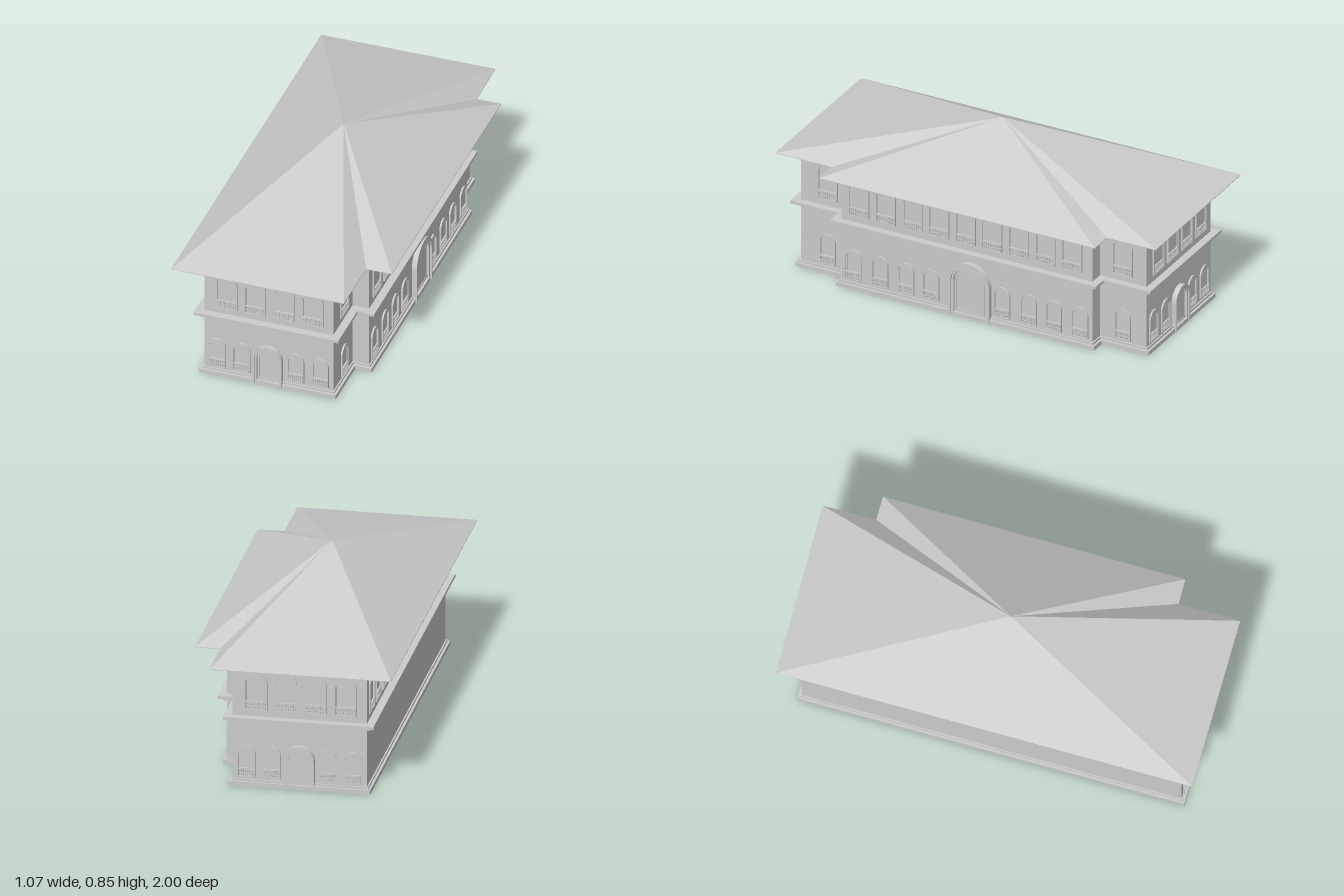
import * as THREE from 'three';

const mat = new THREE.MeshStandardMaterial({ color: 0xcccccc, flatShading: true });

// Plan corners as [x, z], running front-left, along the front, then round the right side
const WALL = [[-0.401, 0.876], [0.215, 0.906], [0.232, 0.655], [0.312, 0.66],
  [0.397, -0.63], [0.323, -0.634], [0.34, -0.874], [-0.276, -0.905]];
const EAVE = [[-0.534, 0.954], [0.291, 0.998], [0.312, 0.709], [0.434, 0.714],
  [0.534, -0.706], [0.418, -0.712], [0.434, -0.963], [-0.397, -1.0]];

function add(parent, name, geo, x = 0, y = 0, z = 0) {
  const m = new THREE.Mesh(geo, mat);
  m.name = name;
  m.position.set(x, y, z);
  parent.add(m);
  return m;
}

// Push every edge of a plan outwards by d, with mitred corners
function offset(pts, d) {
  const n = pts.length;
  const normal = (a, b) => {
    const l = Math.hypot(b[0] - a[0], b[1] - a[1]);
    return [-(b[1] - a[1]) / l, (b[0] - a[0]) / l];
  };
  return pts.map((p, i) => {
    const a = normal(pts[(i + n - 1) % n], p), b = normal(p, pts[(i + 1) % n]);
    const k = d / (1 + a[0] * b[0] + a[1] * b[1]);
    return [p[0] + (a[0] + b[0]) * k, p[1] + (a[1] + b[1]) * k];
  });
}

// Vertical prism over a plan
function slab(parent, name, pts, y0, y1) {
  const shape = new THREE.Shape(pts.map(([x, z]) => new THREE.Vector2(x, -z)));
  const geo = new THREE.ExtrudeGeometry(shape, { depth: y1 - y0, bevelEnabled: false });
  geo.rotateX(-Math.PI / 2);
  return add(parent, name, geo, 0, y0, 0);
}

// Round-headed outline of half width r and height h, standing on y = 0
function archPath(Type, r, h, y0 = 0) {
  const p = new Type();
  p.moveTo(-r, y0);
  p.lineTo(r, y0);
  p.lineTo(r, h - r);
  p.absarc(0, h - r, r, 0, Math.PI, false);
  p.lineTo(-r, y0);
  return p;
}

// Arched surround; open at the foot for doors, closed by a sill for windows
function archFrame(r, h, t, depth, sill) {
  let s;
  if (sill) {
    s = archPath(THREE.Shape, r, h);
    s.holes.push(archPath(THREE.Path, r - t, h - t, t));
  } else {
    s = new THREE.Shape();
    s.moveTo(r - t, 0);
    s.lineTo(r, 0);
    s.lineTo(r, h - r);
    s.absarc(0, h - r, r, 0, Math.PI, false);
    s.lineTo(-r, 0);
    s.lineTo(t - r, 0);
    s.lineTo(t - r, h - r);
    s.absarc(0, h - r, r - t, Math.PI, 0, true);
    s.lineTo(r - t, 0);
  }
  return new THREE.ExtrudeGeometry(s, { depth, bevelEnabled: false, curveSegments: 16 });
}

const balusterGeo = new THREE.LatheGeometry(
  [[0.0022, 0], [0.0035, 0.009], [0.0015, 0.017], [0.0028, 0.025], [0.002, 0.034]]
    .map(([x, y]) => new THREE.Vector2(x, y)), 6);

function makeWindow(parent, x, y, r, h) {
  const g = new THREE.Group();
  g.name = 'archedWindow';
  g.position.set(x, y, 0);
  parent.add(g);
  add(g, 'windowFrame', archFrame(r, h, 0.004, 0.008, true));
  add(g, 'innerFrame', archFrame(r - 0.004, h - 0.004, 0.004, 0.004, false));
  // balustrade across the foot of the window
  const w = 2 * r - 0.006;
  add(g, 'balustradeFoot', new THREE.BoxGeometry(w, 0.004, 0.008), 0, 0.004, 0.005);
  add(g, 'balustradeRail', new THREE.BoxGeometry(w, 0.004, 0.008), 0, 0.041, 0.005);
  const n = r > 0.045 ? 9 : 8;
  for (let i = 0; i < n; i++)
    add(g, 'baluster', balusterGeo, ((i + 0.5) / n - 0.5) * w, 0.005, 0.005);
}

function makeDoor(parent, x, r, h) {
  const g = new THREE.Group();
  g.name = 'archedDoor';
  g.position.set(x, 0, 0);
  parent.add(g);
  const t = r * 0.11;
  add(g, 'outerSurround', archFrame(r, h, t, 0.024, false));
  add(g, 'innerSurround', archFrame(r - t, h - t, t, 0.016, false));
  const leaf = archPath(THREE.Shape, r - 2 * t, h - 2 * t);
  add(g, 'doorPanel', new THREE.ExtrudeGeometry(leaf, { depth: 0.004, bevelEnabled: false }));
  add(g, 'doorMoulding', archFrame(r - 2.7 * t, h - 3.2 * t - 0.02, 0.003, 0.007, true), 0, 0.02, 0);
  add(g, 'doorStep', new THREE.BoxGeometry(2 * (r - t), 0.018, 0.019), 0, 0.009, 0.0095);
}

// Group whose x runs along wall i to i + 1 and whose z points outwards
function facade(parent, name, i) {
  const a = WALL[i], b = WALL[(i + 1) % WALL.length];
  const g = new THREE.Group();
  g.name = name;
  g.position.set(a[0], 0, a[1]);
  g.rotation.y = Math.atan2(-(b[1] - a[1]), b[0] - a[0]);
  parent.add(g);
  return g;
}

export function createModel() {
  const model = new THREE.Group();
  model.name = 'arcadedHouse';

  // Walls with plinth, middle cornice and eaves mouldings: [name, overhang, bottom, top]
  slab(model, 'walls', WALL, 0, 0.588);
  for (const [name, d, y0, y1] of [
    ['plinth', 0.018, 0, 0.02], ['plinthMoulding', 0.007, 0.02, 0.03],
    ['corniceLower', 0.012, 0.308, 0.316], ['corniceMiddle', 0.021, 0.316, 0.324],
    ['corniceTop', 0.037, 0.324, 0.338],
    ['eavesMouldingLower', 0.006, 0.57, 0.579], ['eavesMouldingUpper', 0.014, 0.579, 0.588],
  ]) slab(model, name, offset(WALL, d), y0, y1);

  // Roof: every eave edge rises to one peak
  slab(model, 'soffit', EAVE, 0.587, 0.59);
  const tri = [];
  EAVE.forEach((p, i) => {
    const q = EAVE[(i + 1) % EAVE.length];
    tri.push(p[0], 0.59, p[1], q[0], 0.59, q[1], 0, 0.852, 0);
  });
  const roof = new THREE.BufferGeometry();
  roof.setAttribute('position', new THREE.Float32BufferAttribute(tri, 3));
  roof.computeVertexNormals();
  add(model, 'roof', roof);

  const upper = (g, x) => makeWindow(g, x, 0.37, 0.051, 0.185);
  const lower = (g, x) => makeWindow(g, x, 0.042, 0.041, 0.153);

  // Front and back
  for (const [name, i] of [['frontFacade', 0], ['backFacade', 6]]) {
    const g = facade(model, name, i);
    for (let k = 0; k < 4; k++) upper(g, 0.108 + 0.137 * k);
    for (const x of [0.064, 0.18, 0.437, 0.554]) lower(g, x);
    makeDoor(g, 0.309, 0.068, 0.21);
  }

  // Projecting long side with the main entrance
  const wing = facade(model, 'wingFacade', 3);
  for (let k = 0; k < 9; k++) upper(wing, 0.094 + 0.137 * k);
  for (const x of [0.064, 0.202, 0.335, 0.464, 0.83, 0.967, 1.095, 1.232]) lower(wing, x);
  makeDoor(wing, 0.668, 0.105, 0.28);

  // Short set-back walls beside the wing
  for (const [name, i, x] of [['frontReturn', 1, 0.139], ['backReturn', 5, 0.119]]) {
    const g = facade(model, name, i);
    upper(g, x);
    lower(g, x);
  }

  // Plain long side, windows on the upper floor only
  const plain = facade(model, 'plainFacade', 7);
  for (let k = 0; k < 12; k++) upper(plain, 0.094 + 0.145 * k);

  return model;
}
